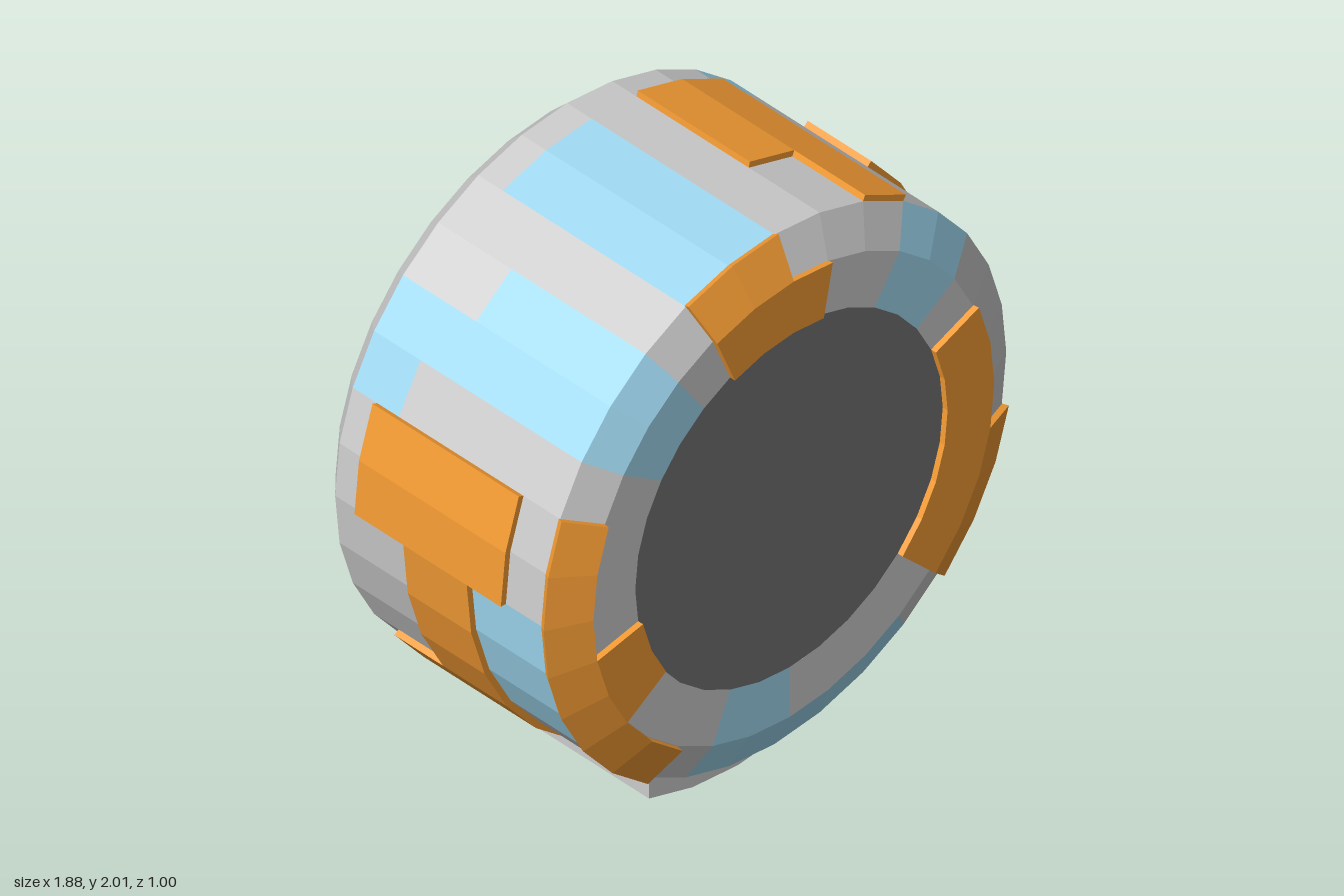
import * as THREE from 'three';

const SIDES = 32, CY = 1.08, R = 0.92;
const GREY = 0xcccccc, DARK = 0x737373, BLUE = 0x9fd8f0, ORANGE = 0xf29a33;

const materials = {};
const mat = (color) => (materials[color] ??= new THREE.MeshStandardMaterial({ color, flatShading: true }));

// Point at step k around the drum (k = 0 is the top, positive towards +x).
function point(k, [r, z, drop = 0]) {
  const a = (k * Math.PI * 2) / SIDES;
  return [r * Math.sin(a), CY + r * Math.cos(a) - drop, z];
}

function quad(out, a, b, c, d) {
  out.push(...a, ...b, ...c, ...a, ...c, ...d);
}

function meshFrom(positions, color, name) {
  const geo = new THREE.BufferGeometry();
  geo.setAttribute('position', new THREE.Float32BufferAttribute(positions, 3));
  geo.computeVertexNormals();
  const mesh = new THREE.Mesh(geo, mat(color));
  mesh.name = name;
  return mesh;
}

// Sweeps a section of [radius, z, drop] points through the steps k0..k1.
// paint holds blue rectangles [k0, k1, firstPoint, lastPoint].
function sweep(name, section, k0, k1, { color = GREY, paint = [], closed = true, inset = 0 } = {}) {
  const base = [], blue = [];
  const n = section.length;
  const at = (k) => Math.min(Math.max(k, k0 + inset), k1 - inset);
  for (let k = k0; k < k1; k++) {
    const ka = at(k), kb = at(k + 1);
    for (let i = 0; i < (closed ? n : n - 1); i++) {
      const p = section[i], q = section[(i + 1) % n];
      const painted = paint.some(([a, b, c, d]) => k >= a && k < b && i >= c && i < d);
      quad(painted ? blue : base, point(ka, p), point(kb, p), point(kb, q), point(ka, q));
    }
  }
  if (closed) {
    const [a, b, c, d] = section.map((p) => point(at(k0), p));
    quad(base, a, b, c, d);
    const [e, f, g, h] = section.map((p) => point(at(k1), p));
    quad(base, h, g, f, e);
  }
  const group = new THREE.Group();
  group.name = name;
  group.add(meshFrom(base, color, name + 'Surface'));
  if (blue.length) group.add(meshFrom(blue, BLUE, name + 'BluePaint'));
  return group;
}

export function createModel() {
  const model = new THREE.Group();
  model.name = 'drum';

  // Drum shell: front ring, front bevel, wall split at paint borders, back bevel
  const profile = [
    [0.61, 0.48], [0.79, 0.48], [R, 0.42], [R, 0.13], [R, -0.13],
    [R, -0.24], [R, -0.33], [R, -0.43], [0.85, -0.5],
  ];
  const paint = [
    [-2, 0, 2, 6], [-5, -4, 2, 7], [-6, -5, 5, 7], [-4, -3, 2, 4], // upper wall, -x side
    [-5, -3, 0, 2], [3, 5, 0, 2], [16, 18, 0, 1], [13, 18, 1, 2], // front ring and bevel
    [4, 10, 2, 3], [3, 8, 6, 7], [7, 8, 5, 7], [3, 6, 7, 8], // +x side
    [-11, -8, 2, 3], // lower wall, -x side
  ];
  model.add(sweep('shell', profile, -14, 18, { paint, closed: false }));

  // Dark end discs
  for (const [name, r, z, turn] of [['frontDisc', 0.61, 0.48, 0], ['backDisc', 0.85, -0.5, Math.PI]]) {
    const disc = new THREE.Mesh(new THREE.CircleGeometry(r, SIDES), mat(DARK));
    disc.name = name;
    disc.position.set(0, CY, z);
    disc.rotation.y = turn;
    model.add(disc);
  }

  // Raised orange plates on the wall: [k0, k1, front z, back z]
  const wallPlates = {
    topPlate: [[1, 3, 0.13, -0.33], [2, 3, 0.42, 0.13]],
    leftPlate: [[4, 9, 0.13, -0.13], [9, 11, 0.13, -0.33]],
    rightPlate: [[-8, -6, 0.27, -0.33], [-11, -8, 0.13, -0.13], [-13, -11, 0.13, -0.33]],
  };
  for (const [name, parts] of Object.entries(wallPlates)) {
    for (const [k0, k1, zf, zb] of parts) {
      const section = [[R - 0.01, zf], [R + 0.02, zf], [R + 0.02, zb], [R - 0.01, zb]];
      model.add(sweep(name, section, k0, k1, { color: ORANGE }));
    }
  }

  // Raised orange plates on the front: flat ring pieces and bevel pieces
  const ring = [[0.61, 0.47], [0.61, 0.5], [0.795, 0.5], [0.79, 0.47]];
  const bevel = [[0.79, 0.47], [0.795, 0.5], [0.932, 0.437], [R, 0.415]];
  const frontPlates = [
    ['frontTopPlate', ring, -2, 1], ['frontTopPlate', bevel, -2, 0],
    ['frontLeftPlate', ring, 6, 12], ['frontLeftPlate', bevel, 9, 12],
    ['frontRightPlate', ring, -11, -9], ['frontRightPlate', bevel, -13, -6],
  ];
  for (const [name, section, k0, k1] of frontPlates) {
    model.add(sweep(name, section, k0, k1, { color: ORANGE }));
  }

  // Curved foot below: mounting strip, recessed dark neck and thick pad
  const layer = (zf, zb, top, bottom) => [[R, zf, top], [R, zf, bottom], [R, zb, bottom], [R, zb, top]];
  model.add(sweep('footStrip', layer(0.27, -0.33, -0.005, 0.015), 12, 18));
  model.add(sweep('footNeck', layer(0.26, -0.32, 0.01, 0.07), 12, 18, { color: DARK, inset: 0.12 }));
  model.add(sweep('footPad', layer(0.27, -0.33, 0.065, 0.16), 12, 18, {
    paint: [[13, 15, 0, 1], [15, 17, 2, 3]],
  }));

  // Blue paint on the +x end of the foot
  for (const [y, h] of [[0.317, 0.095], [0.422, 0.014]]) {
    const patch = new THREE.Mesh(new THREE.BoxGeometry(0.004, h, 0.26), mat(BLUE));
    patch.name = 'footEndPaint';
    patch.position.set(R * Math.SQRT1_2, y, 0);
    model.add(patch);
  }
  return model;
}
